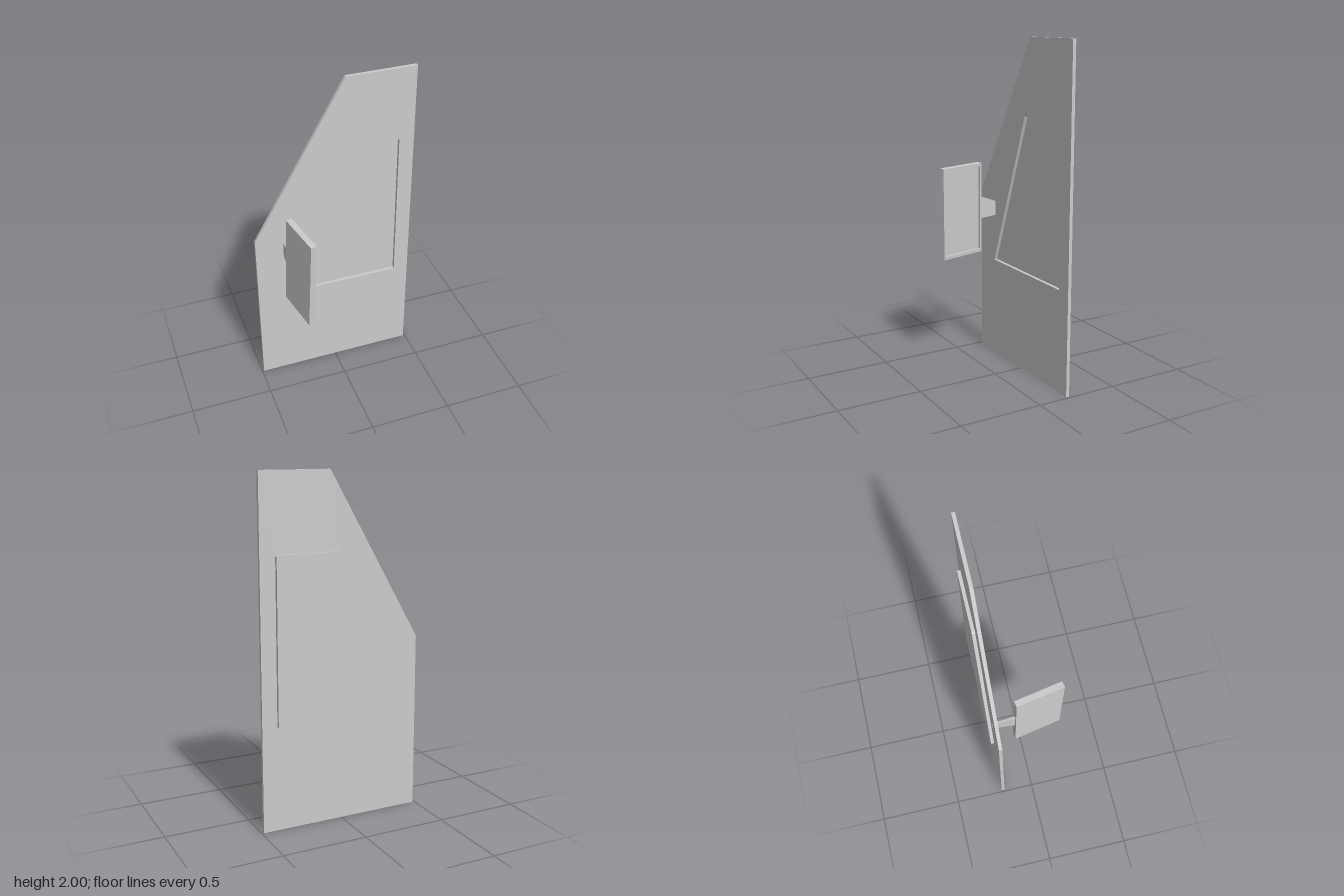
import * as THREE from 'three';

const material = new THREE.MeshStandardMaterial({ color: 0xcccccc, flatShading: true });

const toPoints = (pairs) => pairs.map(([x, y]) => new THREE.Vector2(x, y));

function addMesh(parent, name, geometry) {
  const mesh = new THREE.Mesh(geometry, material);
  mesh.name = name;
  parent.add(mesh);
  return mesh;
}

// Flat slab from an outline, with an optional opening
function slab(outline, depth, opening) {
  const shape = new THREE.Shape(toPoints(outline));
  if (opening) shape.holes.push(new THREE.Path(toPoints(opening)));
  return new THREE.ExtrudeGeometry(shape, { depth, bevelEnabled: false });
}

const rectangle = (w, h) => [[-w / 2, -h / 2], [w / 2, -h / 2], [w / 2, h / 2], [-w / 2, h / 2]];

export function createModel() {
  const model = new THREE.Group();
  model.name = 'doorWithMirror';

  // Door panel with a sloped upper corner and a window opening
  const door = [[-0.49, 0], [0.488, 0], [0.488, 2], [0.072, 2], [-0.485, 1.04]];
  const pane = [
    [-0.325, 0.613], [0.398, 0.613], [0.398, 1.553], [0.392, 1.56],
    [0.032, 1.56], [0.022, 1.55],
  ];
  addMesh(model, 'doorPanel', slab(door, 0.02, pane)).position.z = -0.203;

  // Window pane, recessed at the front and standing proud at the back
  addMesh(model, 'windowPane', slab(pane, 0.019)).position.z = -0.222;

  // Mirror housing, turned and slightly tilted
  const mirror = new THREE.Group();
  mirror.name = 'sideMirror';
  mirror.position.set(-0.291, 0.962, 0.069);
  mirror.rotation.set(0.018, 0.19, -0.038, 'ZXY');
  model.add(mirror);

  const length = 0.29, height = 0.56, thickness = 0.037, recess = 0.014;
  const rim = slab(rectangle(length, height), recess, rectangle(length - 0.026, height - 0.04));
  rim.rotateY(Math.PI / 2);
  addMesh(mirror, 'mirrorRim', rim).position.x = thickness / 2 - recess;
  const back = new THREE.BoxGeometry(thickness - recess, height, length);
  addMesh(mirror, 'mirrorBack', back).position.x = -recess / 2;

  // Tapered arm, wider at the mirror and passing through the door
  const arm = new THREE.BoxGeometry(1, 1, 1);
  const p = arm.attributes.position;
  for (let i = 0; i < p.count; i++) {
    const atMirror = p.getZ(i) > 0;
    const [x, w, low, high, z] = atMirror
      ? [-0.317, 0.013, 0.895, 1.037, -0.066]
      : [-0.312, 0.007, 0.907, 0.985, -0.205];
    p.setXYZ(i, x + p.getX(i) * w, p.getY(i) > 0 ? high : low, z);
  }
  arm.computeVertexNormals();
  addMesh(model, 'mirrorArm', arm);

  return model;
}
